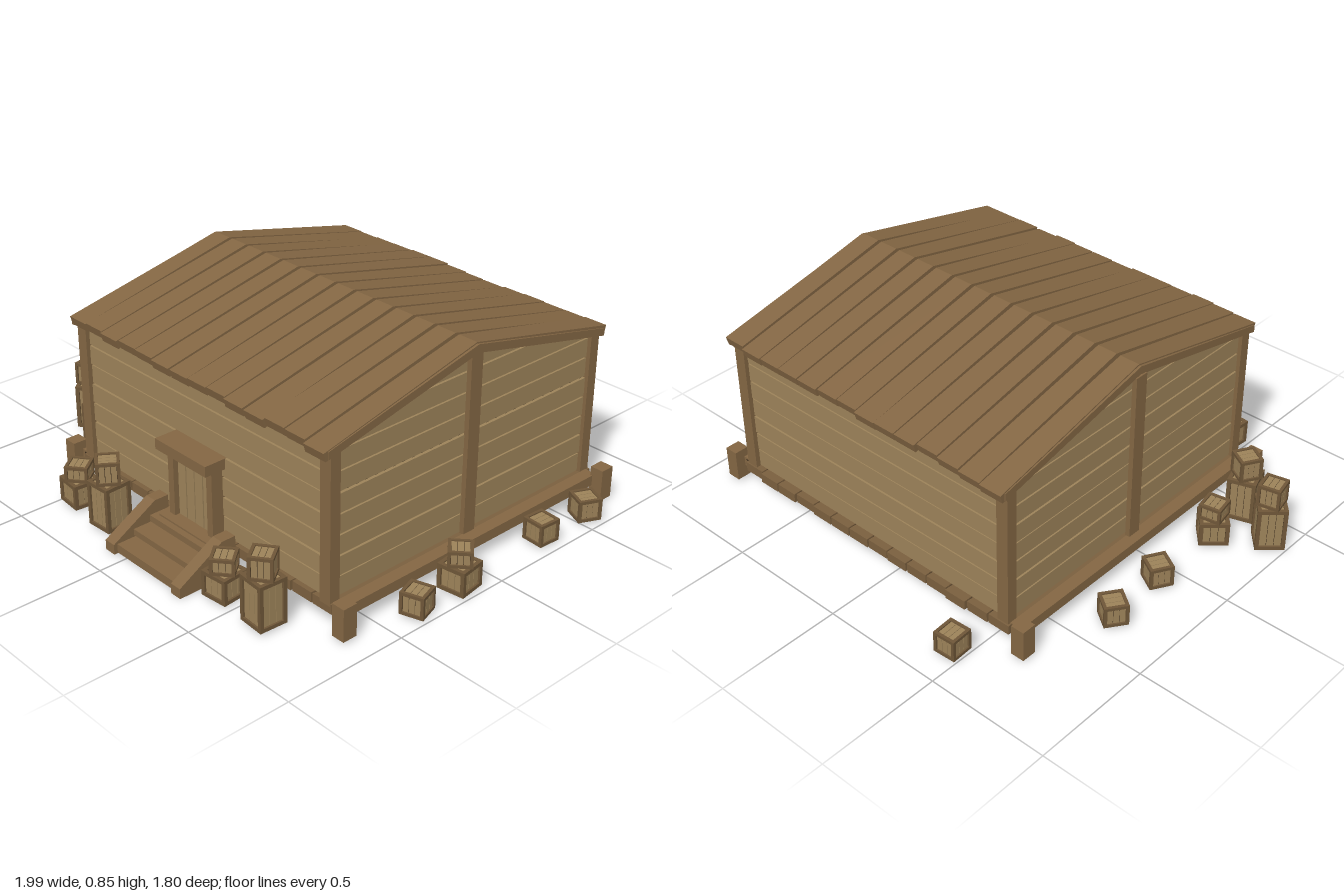
import * as THREE from 'three';

const paint = (c) => new THREE.MeshStandardMaterial({ color: c });

export function createModel() {
  const wallWood = paint(0x9c8259), trimWood = paint(0x836643), roofWood = paint(0x836643);
  const darkWood = paint(0x3a2c1c), floorWood = paint(0x7a5f3e), frameWood = paint(0x6e5638);
  const model = new THREE.Group();
  model.name = 'cabin with crates';

  let seed = 7;
  const rand = () => (seed = (seed * 16807) % 2147483647) / 2147483647;
  const jitter = (a) => (rand() - 0.5) * 2 * a;

  const add = (parent, name, geo, mat) => {
    const m = new THREE.Mesh(geo, mat);
    m.name = name;
    parent.add(m);
    return m;
  };
  // box given by its extents
  const box = (parent, name, x0, x1, y0, y1, z0, z1, mat) => {
    const m = add(parent, name, new THREE.BoxGeometry(x1 - x0, y1 - y0, z1 - z0), mat);
    m.position.set((x0 + x1) / 2, (y0 + y1) / 2, (z0 + z1) / 2);
    return m;
  };
  // polygon in (z, y), extruded along x from x0 to x1
  const slabX = (parent, name, pts, x0, x1, mat) => {
    const shape = new THREE.Shape(pts.map(([z, y]) => new THREE.Vector2(-z, y)));
    const geo = new THREE.ExtrudeGeometry(shape, { depth: x1 - x0, bevelEnabled: false });
    geo.rotateY(Math.PI / 2).translate(x0, 0, 0);
    return add(parent, name, geo, mat);
  };

  const house = new THREE.Group();
  house.name = 'house';
  house.position.set(0.115, 0, -0.03);
  model.add(house);

  const SLOPE = 0.22, RIDGE = 0.81, EAVE = 0.66, HX = 0.69, HZ = 0.67, ROW = 0.08;

  // dark core that shows in the gaps between planks
  const c = HZ - 0.025;
  slabX(house, 'wallCore', [[-c, 0.09], [c, 0.09], [c, EAVE], [0, RIDGE - 0.005], [-c, EAVE]], -HX + 0.025, HX - 0.025, darkWood);

  // horizontal wall planks, front and back
  for (const s of [-1, 1]) {
    for (let i = 0; i < 7; i++) {
      const y = 0.1 + i * ROW, z = s * (HZ - 0.025 + jitter(0.002));
      box(house, 'wallPlank', -HX + 0.02, HX - 0.02, y + 0.003, y + ROW - 0.004 + jitter(0.002), z - 0.01, z + 0.01, wallWood);
    }
  }

  // gable planks, cut to the roof slope
  const halfAt = (y) => Math.min(HZ - 0.02, (RIDGE - y) / SLOPE);
  for (const s of [-1, 1]) {
    for (let i = 0; i < 9; i++) {
      const y0 = 0.1 + i * ROW + 0.003;
      const y1 = Math.min(0.1 + (i + 1) * ROW - 0.004, RIDGE - 0.004);
      const a = halfAt(y0), b = halfAt(y1), x = s * (HX - 0.025 + jitter(0.002));
      slabX(house, 'gablePlank', [[-a, y0], [a, y0], [b, y1], [-b, y1]], x - 0.01, x + 0.01, wallWood);
    }
    box(house, 'gablePost', s * HX - 0.015, s * HX + 0.005, 0.1, RIDGE - 0.005, -0.028, 0.028, trimWood);
    // corner posts and foundation blocks
    for (const t of [-1, 1]) {
      const px = s * (HX - 0.025), pz = t * (HZ - 0.02);
      box(house, 'cornerPost', px - 0.025, px + 0.025, 0.09, EAVE + 0.005, pz - 0.022, pz + 0.022, trimWood);
      const bx = s * 0.758, bz = t * 0.67;
      box(house, 'foundationBlock', bx - 0.028, bx + 0.028, 0.01, 0.138, bz - 0.03, bz + 0.03, trimWood);
    }
    box(house, 'sideBeam', s * 0.715 - 0.025, s * 0.715 + 0.025, 0.06, 0.102, -0.66, 0.66, trimWood);
  }

  // floor planks
  box(house, 'floorCore', -0.72, 0.72, 0.066, 0.095, -0.66, 0.66, darkWood);
  for (let i = 0; i < 14; i++) {
    const w = 1.4 / 14, x = -0.7 + i * w;
    box(house, 'floorPlank', x + 0.003, x + w - 0.003, 0.06 + rand() * 0.003, 0.1, -0.675 - rand() * 0.015, 0.67 + rand() * 0.006, floorWood);
  }

  // roof planks: slope down from the ridge and narrow slightly towards it
  const roof = new THREE.Group();
  roof.name = 'roof';
  house.add(roof);
  const N = 14, PW = 1.395 / N;
  for (const s of [-1, 1]) {
    for (let i = 0; i < N; i++) {
      const len = 0.697 + rand() * 0.014, lift = jitter(0.004);
      const geo = new THREE.BoxGeometry(PW - 0.004, 0.036, len);
      geo.translate(0, 0, s * len / 2);
      const p = geo.attributes.position;
      for (let k = 0; k < p.count; k++) {
        const outer = Math.abs(p.getZ(k)) > 0.1, bottom = p.getY(k) < 0;
        const z = outer ? len - (bottom ? 0.01 : 0) : 0;
        p.setX(k, p.getX(k) * (outer ? 1 : 0.87));
        p.setZ(k, s * z);
        p.setY(k, p.getY(k) + 0.827 - SLOPE * z + (outer ? lift : 0));
      }
      geo.computeVertexNormals();
      add(roof, 'roofPlank', geo, roofWood).position.x = -0.6975 + (i + 0.5) * PW;
    }
    // gable edge boards closing the roof ends
    const e = 0.69, yE = EAVE - 0.004;
    for (const t of [-1, 1]) {
      const pts = [[0, RIDGE - 0.002], [t * e, yE], [t * e, yE + 0.03], [0, RIDGE + 0.03]];
      const x = s * 0.693;
      slabX(roof, 'gableEdge', pts, x - 0.006, x + 0.006, roofWood);
    }
  }

  // door with frame
  const door = new THREE.Group();
  door.name = 'door';
  house.add(door);
  box(door, 'doorBack', -0.1, 0.1, 0.1, 0.38, 0.64, 0.672, darkWood);
  for (let i = 0; i < 4; i++) {
    const x = -0.095 + i * 0.0475;
    box(door, 'doorPlank', x + 0.003, x + 0.0445, 0.1, 0.375, 0.65, 0.682 + jitter(0.003), wallWood);
  }
  for (const s of [-1, 1]) box(door, 'doorJamb', s * 0.108 - 0.015, s * 0.108 + 0.015, 0.1, 0.38, 0.64, 0.705, trimWood);
  box(door, 'doorLintel', -0.14, 0.14, 0.376, 0.418, 0.64, 0.745, trimWood);

  // entrance steps between sloped rails
  const steps = new THREE.Group();
  steps.name = 'steps';
  house.add(steps);
  box(steps, 'threshold', -0.14, 0.14, 0.08, 0.105, 0.64, 0.74, trimWood);
  box(steps, 'upperStep', -0.17, 0.17, 0.072, 0.098, 0.66, 0.765, trimWood);
  box(steps, 'middleStep', -0.17, 0.17, 0.045, 0.07, 0.755, 0.84, trimWood);
  box(steps, 'lowerStep', -0.17, 0.17, 0.003, 0.038, 0.83, 0.915, trimWood);
  for (const s of [-1, 1]) {
    slabX(steps, 'stepRail', [[0.68, 0], [0.93, 0], [0.93, 0.04], [0.74, 0.15], [0.68, 0.15]], s * 0.19 - 0.025, s * 0.19 + 0.025, trimWood);
  }

  // crate: planked panels inside a frame of bars
  const crate = (x, y, z, size, h, deg) => {
    const g = new THREE.Group();
    g.name = 'crate';
    g.position.set(x, y, z);
    g.rotation.y = THREE.MathUtils.degToRad(deg);
    const r = size / 2, b = size * 0.13, q = r - b * 0.5;
    box(g, 'crateCore', -q + 0.003, q - 0.003, 0.004, h - 0.007, -q + 0.003, q - 0.003, darkWood);
    const w = (2 * (r - b)) / 3;
    for (let i = 0; i < 3; i++) {
      const a = -r + b + i * w + 0.001, e = a + w - 0.002;
      box(g, 'cratePlankZ', a, e, b, h - b, -q, q, wallWood);
      box(g, 'cratePlankX', -q, q, b, h - b, a, e, wallWood);
      box(g, 'crateLidPlank', a, e, 0.003, h - 0.004, -r + b, r - b, wallWood);
    }
    for (const s of [-1, 1]) {
      const lo = s < 0 ? -r : r - b, hi = lo + b;
      for (const t of [-1, 1]) {
        const l2 = t < 0 ? -r : r - b;
        box(g, 'crateCorner', lo, hi, 0, h, l2, l2 + b, frameWood);
      }
      for (const yy of [0, h - b]) {
        box(g, 'crateRail', -r + b, r - b, yy, yy + b, lo, hi, frameWood);
        box(g, 'crateRail', lo, hi, yy, yy + b, -r + b, r - b, frameWood);
      }
    }
    model.add(g);
  };

  // single crates: x, z, angle
  [[-0.76, -0.355, -35], [-0.75, -0.09, -30], [-0.45, -0.85, 3], [0.925, -0.545, -25],
    [0.92, -0.3, -4], [0.935, 0.36, 18]].forEach(([x, z, a]) => crate(x, 0.01, z, 0.093, 0.088, a));

  // stacks: x, z, lower angle, upper angle, tall
  [[-0.43, 0.775, -5, 38, 0], [-0.22, 0.79, 3, -35, 1], [0.42, 0.775, 5, 40, 0], [0.63, 0.78, -4, 36, 1],
    [-0.92, 0.365, 42, 12, 1], [-0.75, 0.245, 42, 10, 0], [-0.75, 0.44, 18, -30, 1],
    [0.93, 0.145, 8, 42, 0]].forEach(([x, z, a, b, tall]) => {
    const h = tall ? 0.182 : 0.1;
    crate(x, 0.01, z, 0.113, h, a);
    crate(x, 0.01 + h, z, 0.09, tall ? 0.092 : 0.064, b);
  });

  return model;
}
